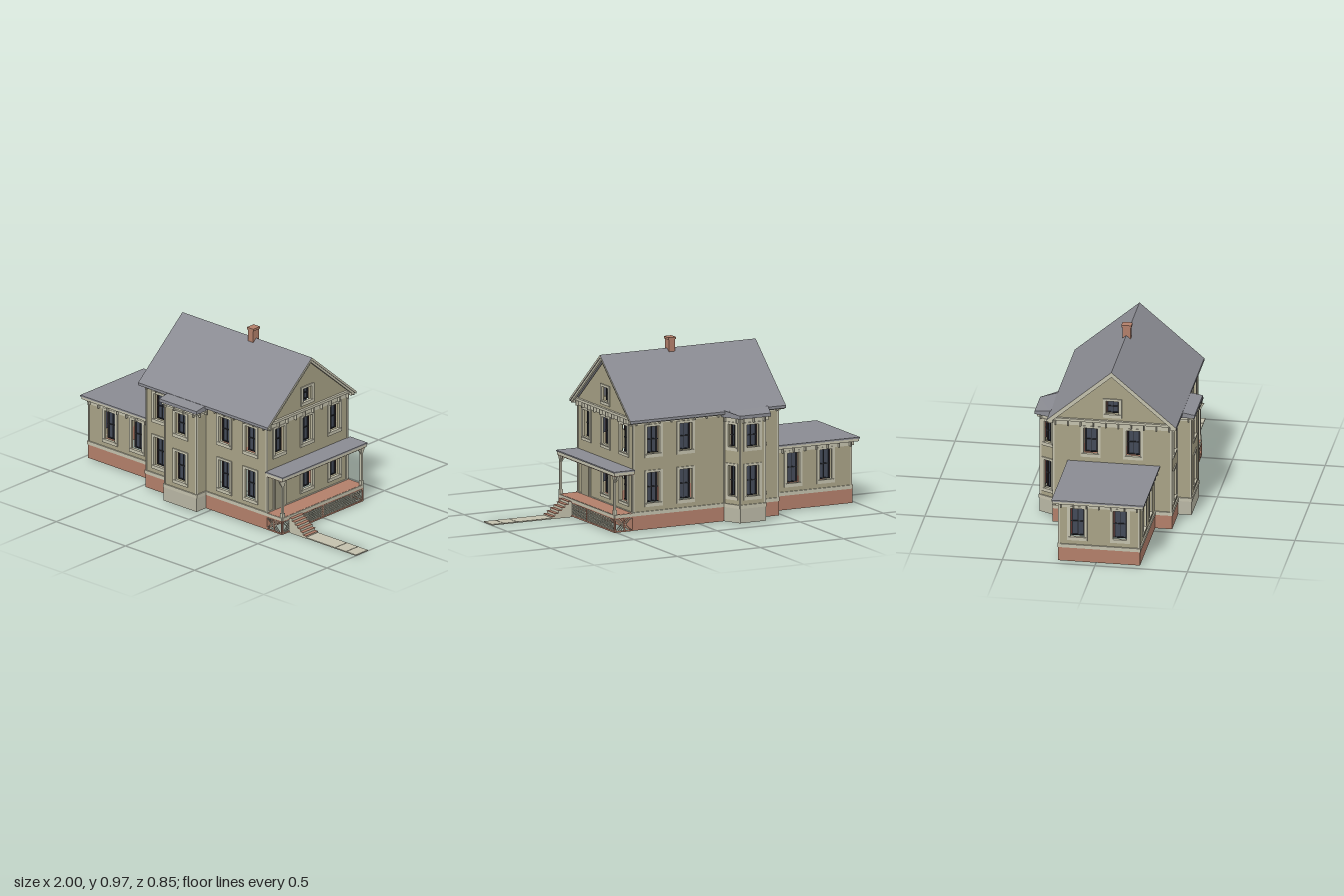
import * as THREE from 'three';

const colours = {
  siding: 0xa8a286, trim: 0xc3c0ac, roofing: 0x8a8b92, brick: 0xb27f6a, stone: 0xb8b6a4,
  glass: 0x434a58, sash: 0x24262b, accent: 0x7c403a, door: 0x9b967f,
};
const M = {};
for (const [name, color] of Object.entries(colours)) {
  M[name] = new THREE.MeshStandardMaterial({ color, side: THREE.DoubleSide });
  M[name].name = name;
}

function add(parent, name, geo, mat) {
  const m = new THREE.Mesh(geo, mat);
  m.name = name;
  parent.add(m);
  return m;
}
// Box given by its minimum and maximum corners
function block(parent, name, mat, x0, x1, y0, y1, z0, z1) {
  const m = add(parent, name, new THREE.BoxGeometry(x1 - x0, y1 - y0, z1 - z0), mat);
  m.position.set((x0 + x1) / 2, (y0 + y1) / 2, (z0 + z1) / 2);
  return m;
}
const outline = (pts) => new THREE.Shape(pts.map(([x, y]) => new THREE.Vector2(x, y)));
const rect = (x0, x1, y0, y1) => [[x0, y0], [x1, y0], [x1, y1], [x0, y1]];
function extrude(shape, depth, z = 0) {
  return new THREE.ExtrudeGeometry(shape, { depth, bevelEnabled: false }).translate(0, 0, z);
}
// Group whose x axis runs from a to b and whose z axis points outward
function along(parent, name, [ax, az], [bx, bz]) {
  const g = new THREE.Group();
  g.name = name;
  g.position.set(ax, 0, az);
  g.rotation.y = Math.atan2(az - bz, bx - ax);
  parent.add(g);
  return g;
}

// Sash window set behind its opening, with a projecting casing
function sashWindow(parent, [u, y0, y1, w = 0.074]) {
  const g = new THREE.Group(), h = w / 2, c = 0.017, mid = (y0 + y1) / 2;
  g.name = 'window';
  g.position.x = u;
  parent.add(g);
  const casing = outline(rect(-h - c, h + c, y0 - 0.021, y1 + 0.013));
  casing.holes.push(outline(rect(-h, h, y0, y1)));
  add(g, 'casing', extrude(casing, 0.006), M.trim);
  const z = -0.024;
  block(g, 'glass', M.glass, -h, h, y0, y1, z - 0.003, z);
  for (const s of [-1, 1]) {
    block(g, 'sashStile', M.sash, s * (h - 0.007) - 0.003, s * (h - 0.007) + 0.003, y0, y1, z, z + 0.005);
    block(g, 'jambStrip', M.accent, s * (h - 0.002) - 0.002, s * (h - 0.002) + 0.002, y0, y1, z, z + 0.004);
  }
  block(g, 'muntin', M.sash, -0.0015, 0.0015, y0, y1, z, z + 0.004);
  for (const y of [y0 + 0.003, mid, y1 - 0.003]) block(g, 'sashRail', M.sash, -h, h, y - 0.003, y + 0.003, z, z + 0.005);
  block(g, 'sill', M.trim, -h - 0.01, h + 0.01, y0 - 0.006, y0, -0.008, 0.01);
}

// One wall with openings, foundation, water table, corner boards and frieze
function facade(parent, name, a, b, top, windows, opt = {}) {
  const g = along(parent, name, a, b);
  const L = Math.hypot(b[0] - a[0], b[1] - a[1]);
  const pts = [[0, 0.085], [L, 0.085], [L, top]];
  if (opt.peak) pts.push([L / 2, opt.peak]);
  pts.push([0, top]);
  const shape = outline(pts);
  for (const [u, y0, y1, w = 0.074] of windows) shape.holes.push(outline(rect(u - w / 2, u + w / 2, y0, y1)));
  add(g, 'siding', extrude(shape, 0.008, -0.008), M.siding);
  windows.forEach((w) => sashWindow(g, w));
  block(g, 'foundation', opt.base || M.brick, -0.004, L + 0.004, 0.005, 0.085, -0.008, 0.004);
  block(g, 'waterTable', M.trim, -0.006, L + 0.006, 0.083, 0.103, -0.008, 0.007);
  const f = opt.frieze || top;
  for (const u of [0, L]) block(g, 'cornerBoard', M.trim, u - 0.004, u + 0.004, 0.1, f, -0.006, 0.003);
  block(g, 'frieze', M.trim, 0, L, f - 0.027, f, 0, 0.004);
  const n = Math.max(1, Math.round(L / 0.075));
  for (let i = 0; i <= n; i++) {
    const u = 0.012 + ((L - 0.024) * i) / n;
    block(g, 'bracket', M.trim, u - 0.003, u + 0.003, f - 0.028, f, 0.004, 0.02);
  }
  return g;
}

// Gable shell centred on the ridge; cap faces and sloping faces may differ
function chevron(parent, name, half, top, t, x0, x1, mats) {
  const s = 0.857, r = -0.007, e = top - s * half;
  const shape = outline([[r - half, e], [r, top], [r + half, e], [r + half, e - t], [r, top - t], [r - half, e - t]]);
  add(parent, name, extrude(shape, x1 - x0).rotateY(Math.PI / 2).translate(x0, 0, 0), mats);
}

// Low sloping roof over a bay, raised where it meets the main wall
function bayRoof(parent, name, pts, wallZ) {
  const geo = extrude(outline(pts.map(([x, z]) => [x, -z])), 0.018).rotateX(-Math.PI / 2).translate(0, 0.576, 0);
  const p = geo.attributes.position;
  for (let i = 0; i < p.count; i++) {
    if (p.getY(i) > 0.585 && Math.abs(p.getZ(i)) <= wallZ) p.setY(i, 0.612);
  }
  geo.computeVertexNormals();
  add(parent, name, geo, M.roofing);
}

// Crossed strips in a brick-coloured frame
function lattice(parent, a, b) {
  const g = along(parent, 'porchLattice', a, b);
  const L = Math.hypot(b[0] - a[0], b[1] - a[1]), y0 = 0.008, y1 = 0.08, h = y1 - y0;
  for (let u = 0; u + h <= L + 0.001; u += 0.0145) {
    for (const s of [-1, 1]) {
      const strip = add(g, 'latticeStrip', new THREE.BoxGeometry(h * 1.4, 0.005, 0.002), M.trim);
      strip.position.set(u + h / 2, (y0 + y1) / 2, s * 0.001);
      strip.rotation.z = (s * Math.PI) / 4;
    }
  }
  for (const y of [y0, y1]) block(g, 'latticeRail', M.brick, 0, L, y - 0.004, y + 0.004, -0.003, 0.004);
  for (const u of [0.003, L / 2, L - 0.003]) block(g, 'latticeStile', M.brick, u - 0.003, u + 0.003, y0, y1, -0.003, 0.004);
}

const lo = (u) => [u, 0.148, 0.312], up = (u) => [u, 0.415, 0.562];

function mainHouse(root) {
  const g = new THREE.Group();
  g.name = 'mainHouse';
  root.add(g);
  const X0 = -0.465, X1 = 0.405, Z0 = -0.311, Z1 = 0.327;
  const F = (x) => x - X0, B = (x) => X1 - x, R = (z) => Z1 - z, W = (z) => z - Z0;
  const attic = (u) => [u, 0.651, 0.727, 0.068];
  facade(g, 'frontWall', [X0, Z1], [X1, Z1], 0.605, [-0.37, 0.1, 0.29].flatMap((x) => [lo(F(x)), up(F(x))]));
  facade(g, 'backWall', [X1, Z0], [X0, Z0], 0.605, [0.09, 0.285].flatMap((x) => [lo(B(x)), up(B(x))]));
  const right = facade(g, 'rightGable', [X1, Z1], [X1, Z0], 0.61,
    [...[0.225, 0.008, -0.206].map((z) => up(R(z))), lo(R(0.008)), lo(R(-0.206)), attic(R(0.008))], { peak: 0.883, frieze: 0.602 });
  facade(g, 'leftGable', [X0, Z0], [X0, Z1], 0.61,
    [up(W(-0.11)), up(W(0.12)), attic(W(0.008))], { peak: 0.883, frieze: 0.602 });
  // Front door under the porch
  block(right, 'doorCasing', M.trim, R(0.276), R(0.176), 0.1, 0.308, 0, 0.005);
  block(right, 'door', M.door, R(0.265), R(0.187), 0.103, 0.295, 0.005, 0.008);
  // Gable belt, eaves, roof and rakes
  for (const x of [X0 - 0.014, X1]) block(g, 'gableBelt', M.trim, x, x + 0.014, 0.6, 0.614, Z0 - 0.02, Z1 + 0.02);
  block(g, 'frontEave', M.trim, -0.49, 0.433, 0.588, 0.604, Z1, 0.35);
  block(g, 'backEave', M.trim, -0.49, 0.433, 0.588, 0.604, -0.336, Z0);
  chevron(g, 'mainRoof', 0.35, 0.907, 0.015, -0.497, 0.44, [M.trim, M.roofing]);
  for (const x of [-0.492, 0.423]) chevron(g, 'rakeBoard', 0.34, 0.893, 0.016, x, x + 0.012, M.trim);
  block(g, 'chimney', M.brick, 0.0, 0.036, 0.86, 0.957, -0.014, 0.03);
  block(g, 'chimneyCap', M.brick, -0.005, 0.041, 0.955, 0.967, -0.019, 0.035);
}

function bays(root) {
  const opt = { base: M.stone };
  const g = new THREE.Group();
  g.name = 'frontBay';
  root.add(g);
  facade(g, 'bayFront', [-0.265, 0.4], [-0.035, 0.4], 0.578, [lo(0.115), [0.115, 0.415, 0.537]], opt);
  facade(g, 'bayRight', [-0.035, 0.4], [-0.035, 0.327], 0.578, [], opt);
  facade(g, 'bayLeft', [-0.265, 0.327], [-0.265, 0.4], 0.578, [], opt);
  block(g, 'bayCornice', M.trim, -0.277, -0.023, 0.562, 0.578, 0.327, 0.413);
  bayRoof(g, 'bayRoof', [[-0.285, 0.32], [-0.285, 0.423], [-0.015, 0.423], [-0.015, 0.32]], 0.35);

  const b = new THREE.Group();
  b.name = 'backBay';
  root.add(b);
  const p = [[-0.142, -0.311], [-0.19, -0.402], [-0.34, -0.402], [-0.384, -0.311]];
  for (let i = 0; i < 3; i++) {
    const L = Math.hypot(p[i + 1][0] - p[i][0], p[i + 1][1] - p[i][1]);
    const w = i === 1 ? 0.074 : 0.045;
    facade(b, ['bayLeftFacet', 'bayBack', 'bayRightFacet'][i], p[i], p[i + 1], 0.578,
      [[L / 2, 0.148, 0.312, w], [L / 2, 0.415, 0.537, w]], opt);
  }
  bayRoof(b, 'bayRoof', [[-0.115, -0.3], [-0.13, -0.343], [-0.175, -0.43], [-0.36, -0.43], [-0.39, -0.343], [-0.4, -0.3]], 0.35);
}

function sideWing(root) {
  const g = new THREE.Group();
  g.name = 'sideWing';
  root.add(g);
  const X0 = -0.965, X1 = -0.465, Z0 = -0.2, Z1 = 0.235;
  facade(g, 'wingFront', [X0, Z1], [X1, Z1], 0.345, [-0.81, -0.615].map((x) => lo(x - X0)));
  facade(g, 'wingBack', [X1, Z0], [X0, Z0], 0.345, [-0.81, -0.615].map((x) => lo(X1 - x)));
  facade(g, 'wingEnd', [X0, Z0], [X0, Z1], 0.345, [-0.1, 0.13].map((z) => lo(z - Z0)));
  block(g, 'wingCornice', M.trim, -0.995, -0.465, 0.343, 0.36, -0.23, 0.26);
  block(g, 'wingRoof', M.roofing, -1, -0.465, 0.358, 0.366, -0.235, 0.265);
}

function porch(root) {
  const g = new THREE.Group();
  g.name = 'porch';
  root.add(g);
  const X0 = 0.405, X1 = 0.517, Z0 = -0.311, Z1 = 0.327;
  block(g, 'porchFloor', M.brick, X0, X1, 0.09, 0.1, Z0, Z1);
  block(g, 'floorFascia', M.trim, X1 - 0.003, X1 + 0.005, 0.082, 0.099, Z0, Z1);
  for (const z of [Z0, Z1]) block(g, 'floorFascia', M.trim, X0, X1, 0.082, 0.099, z - 0.004, z + 0.004);
  lattice(g, [X1, Z1], [X1, Z0]);
  lattice(g, [X0, Z1], [X1, Z1]);
  lattice(g, [X1, Z0], [X0, Z0]);
  // Posts with flared brackets
  for (const z of [-0.303, 0.319]) {
    block(g, 'porchPost', M.trim, 0.507, 0.519, 0.1, 0.31, z - 0.006, z + 0.006);
    block(g, 'postBase', M.trim, 0.504, 0.522, 0.1, 0.125, z - 0.009, z + 0.009);
    block(g, 'halfPost', M.trim, X0, X0 + 0.006, 0.1, 0.31, z - 0.006, z + 0.006);
    const flare = outline([[-0.006, 0.275], [0.006, 0.275], [0.026, 0.31], [-0.026, 0.31]]);
    add(g, 'postBracket', extrude(flare, 0.008).rotateY(Math.PI / 2).translate(0.509, 0, z), M.trim);
    add(g, 'postBracket', extrude(outline([[0.507, 0.275], [0.507, 0.31], [0.48, 0.31]]), 0.008, z - 0.004), M.trim);
  }
  block(g, 'porchCeiling', M.brick, X0, 0.522, 0.309, 0.315, -0.318, 0.33);
  block(g, 'porchCornice', M.trim, X0, 0.527, 0.313, 0.332, -0.327, 0.334);
  block(g, 'porchRoof', M.roofing, X0, 0.531, 0.331, 0.338, -0.332, 0.338);
  // Steps and path
  for (let i = 0; i < 6; i++) {
    const x = 0.52 + i * 0.02, y = 0.086 - i * 0.0143;
    block(g, 'step', M.trim, x, x + 0.02, 0, y - 0.003, 0.178, 0.274);
    block(g, 'tread', M.brick, x, x + 0.021, y - 0.003, y, 0.178, 0.274);
  }
  for (const [x0, x1] of [[0.64, 0.849], [0.852, 0.929], [0.932, 1]]) block(g, 'pathSlab', M.trim, x0, x1, 0, 0.006, 0.178, 0.272);
}

export function createModel() {
  const root = new THREE.Group();
  root.name = 'house';
  mainHouse(root);
  bays(root);
  sideWing(root);
  porch(root);
  return root;
}
